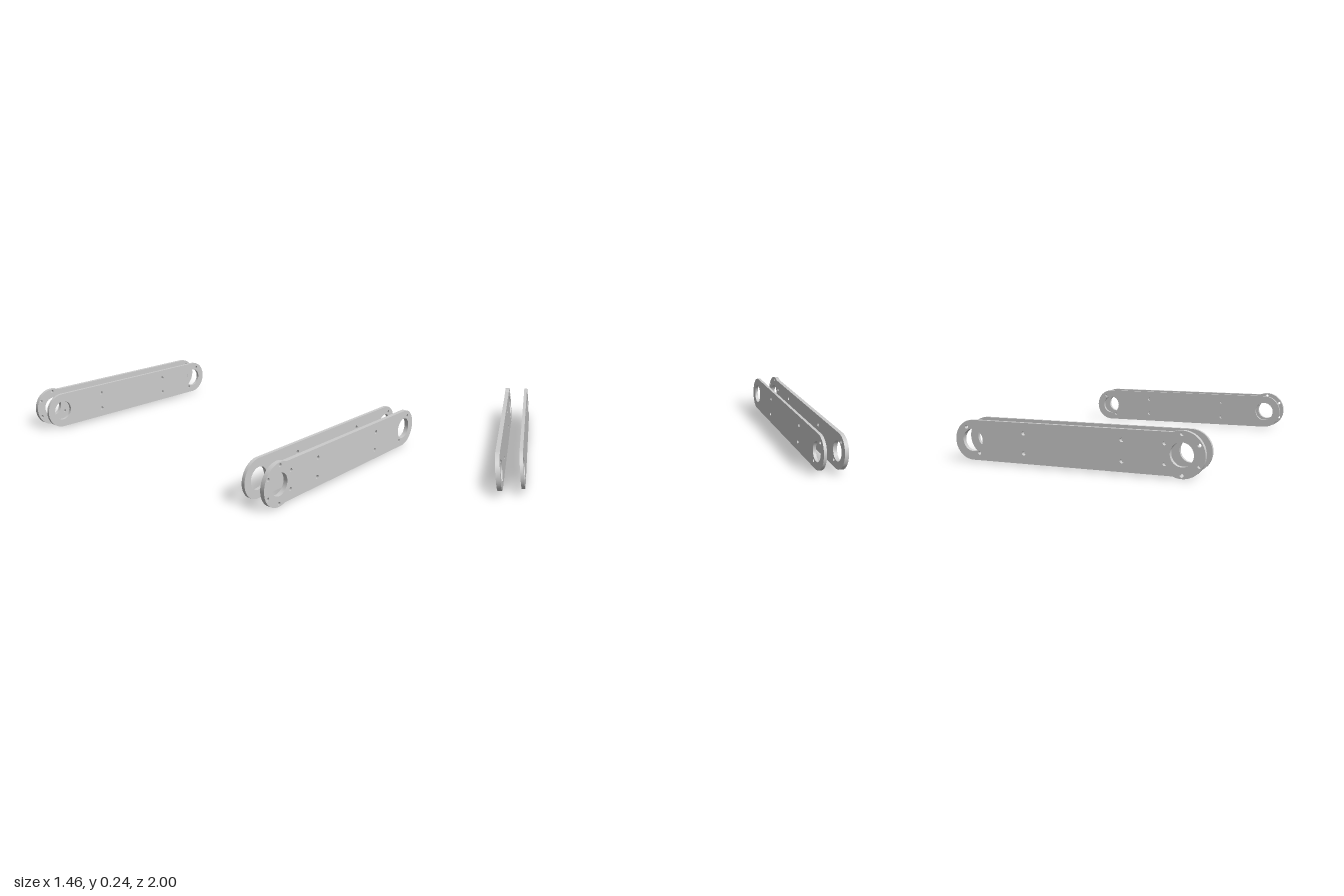
import * as THREE from 'three';

const MID = 0.122;      // height of the plate centre line
const HALF = 0.112;     // half height of the straight body
const DISC = 0.122;     // radius of the flange end on the outer plates
const LEFT = -0.608, RIGHT = 0.615;   // bore centres
const material = new THREE.MeshStandardMaterial({ color: 0xcccccc });

function addHole(shape, x, y, r) {
  shape.holes.push(new THREE.Path().absarc(x, y, r, 0, Math.PI * 2, true));
}

// Link plate outline: rounded right end, left end either a wider disc or a matching round
function plateGeometry(flanged, depth) {
  const r = flanged ? DISC : HALF;
  const a = Math.asin(HALF / r);
  const s = new THREE.Shape();
  s.absarc(RIGHT, 0, HALF, -Math.PI / 2, Math.PI / 2, false);
  s.absarc(LEFT, 0, r, a, Math.PI * 2 - a, false);
  s.closePath();

  // Large bores at both ends
  for (const x of [LEFT, RIGHT]) addHole(s, x, 0, 0.063);
  // Four mounting holes along the body
  for (const x of [-0.285, 0.292]) for (const y of [-0.055, 0.055]) addHole(s, x, y, 0.0115);
  // Two diagonal holes beside the right bore
  for (const k of [-1, 1]) addHole(s, RIGHT + k * 0.041, k * 0.071, 0.0105);
  // Six bolt holes around the flange
  if (flanged) {
    for (let i = 0; i < 6; i++) {
      const t = Math.PI / 6 + i * Math.PI / 3;
      addHole(s, LEFT + 0.105 * Math.cos(t), 0.105 * Math.sin(t), 0.01);
    }
  }
  const g = new THREE.ExtrudeGeometry(s, { depth, bevelEnabled: false, curveSegments: 32 });
  return g.translate(0, MID, -depth / 2);
}

export function createModel() {
  const model = new THREE.Group();
  model.name = 'linkPlates';
  const outer = plateGeometry(true, 0.025);
  const inner = plateGeometry(false, 0.019);

  // One pair of plates at the front and one at the back
  for (const [side, k] of [['front', 1], ['back', -1]]) {
    const pair = new THREE.Group();
    pair.name = side + 'Pair';
    const outerPlate = new THREE.Mesh(outer, material);
    outerPlate.name = side + 'OuterPlate';
    outerPlate.position.z = k * 0.9875;
    const innerPlate = new THREE.Mesh(inner, material);
    innerPlate.name = side + 'InnerPlate';
    innerPlate.position.set(-0.007, 0, k * 0.86);
    pair.add(outerPlate, innerPlate);
    model.add(pair);
  }
  return model;
}
